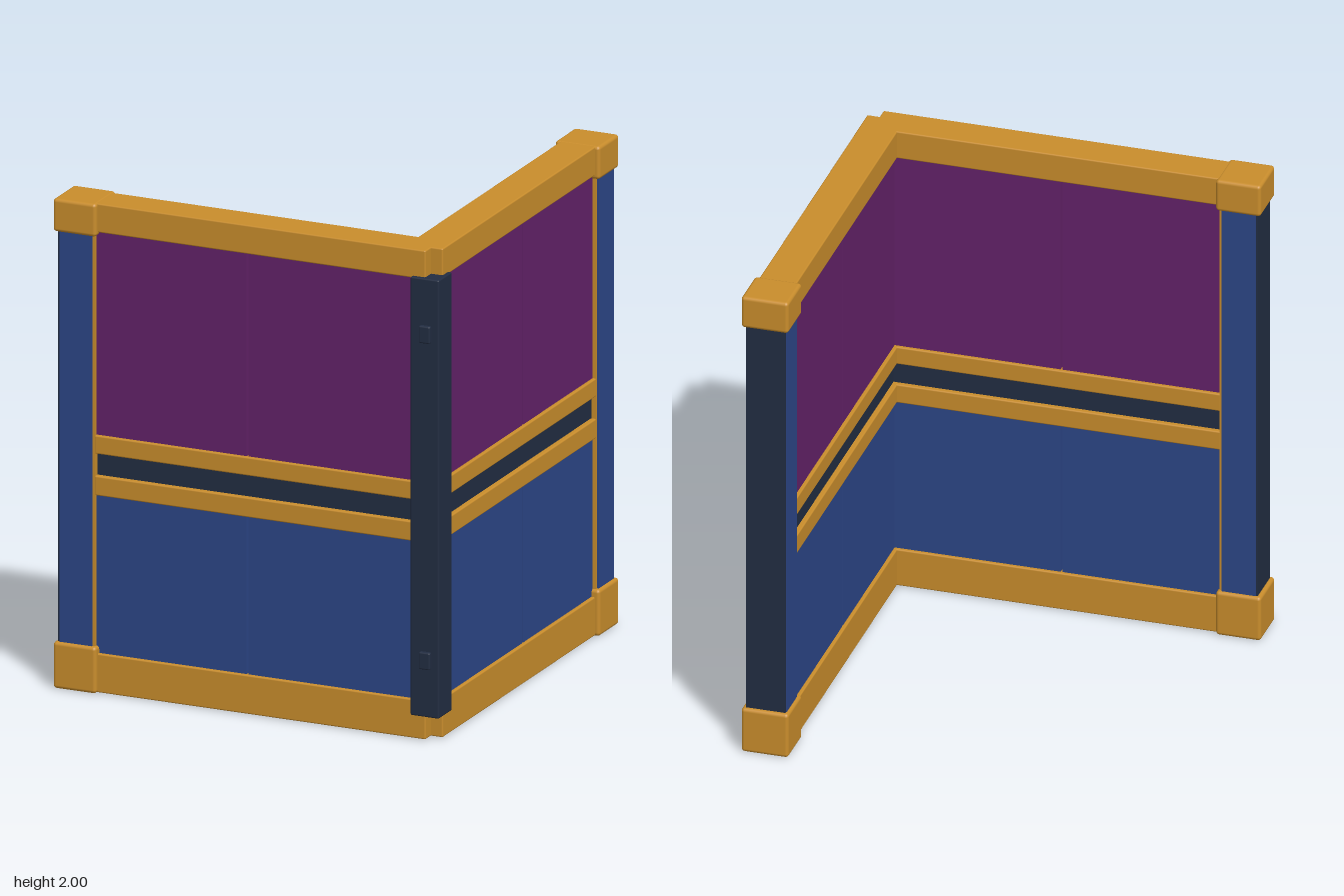
import * as THREE from 'three';
import { RoundedBoxGeometry } from 'three/addons/geometries/RoundedBoxGeometry.js';

const material = (name, color) => {
  const m = new THREE.MeshStandardMaterial({ color });
  m.name = name;
  return m;
};

export function createModel() {
  const orange = material('orange frame', 0xc98d2c);
  const purple = material('purple panel', 0x632269);
  const blue = material('blue panel', 0x2c4687);
  const dark = material('dark trim', 0x222d42);

  // Box given by its limits; a radius rounds the edges.
  function block(parent, name, mat, [x0, x1], [y0, y1], [z0, z1], radius = 0) {
    const size = [x1 - x0, y1 - y0, z1 - z0];
    const geometry = radius
      ? new RoundedBoxGeometry(...size, 2, radius)
      : new THREE.BoxGeometry(...size);
    const mesh = new THREE.Mesh(geometry, mat);
    mesh.name = name;
    mesh.position.set((x0 + x1) / 2, (y0 + y1) / 2, (z0 + z1) / 2);
    parent.add(mesh);
  }

  // One wall: runs along x, free end at -x, centred on z = 0.
  function wall(name) {
    const g = new THREE.Group();
    g.name = name;
    const half = (t) => [-t, t];

    // Top and bottom rails
    block(g, 'topRail', orange, [-0.8, 0.757], [1.88, 1.998], half(0.076), 0.006);
    block(g, 'bottomRail', orange, [-0.8, 0.757], [0.002, 0.16], half(0.076), 0.006);

    // Two panels per storey with a narrow gap between them
    for (const [x0, x1] of [[-0.66, -0.014], [-0.006, 0.75]]) {
      block(g, 'upperPanel', purple, [x0, x1], [1.04, 1.89], half(0.062));
      block(g, 'lowerPanel', blue, [x0, x1], [0.15, 0.815], half(0.062));
    }

    // Middle band
    block(g, 'upperMiddleRail', orange, [-0.66, 0.75], [0.975, 1.05], half(0.076), 0.006);
    block(g, 'lowerMiddleRail', orange, [-0.66, 0.75], [0.805, 0.885], half(0.076), 0.006);
    block(g, 'middleStrip', dark, [-0.66, 0.75], [0.87, 0.99], half(0.056));

    // End post with trim and rounded caps
    block(g, 'postEdge', orange, [-0.672, -0.656], [0.1, 1.92], half(0.076));
    block(g, 'endPost', blue, [-0.805, -0.667], [0.1, 1.92], half(0.083));
    block(g, 'endPlate', dark, [-0.813, -0.805], [0.1, 1.92], half(0.08));
    block(g, 'topCap', orange, [-0.829, -0.645], [1.865, 2], half(0.096), 0.014);
    block(g, 'bottomCap', orange, [-0.829, -0.645], [0, 0.19], half(0.096), 0.014);
    return g;
  }

  const model = new THREE.Group();
  model.name = 'cornerWall';

  const front = wall('frontWall');
  front.position.z = 0.727;
  const side = wall('sideWall');
  side.rotation.y = -Math.PI / 2;
  side.position.set(0.731, 0, -0.006);
  model.add(front, side);

  // Outer corner post with two small clips
  block(model, 'cornerPost', dark, [0.7, 0.822], [0.1, 1.89], [0.698, 0.82], 0.006);
  for (const y of [0.333, 1.665]) {
    block(model, 'clip', dark, [0.742, 0.79], [y - 0.035, y + 0.035], [0.81, 0.836], 0.006);
  }
  return model;
}
